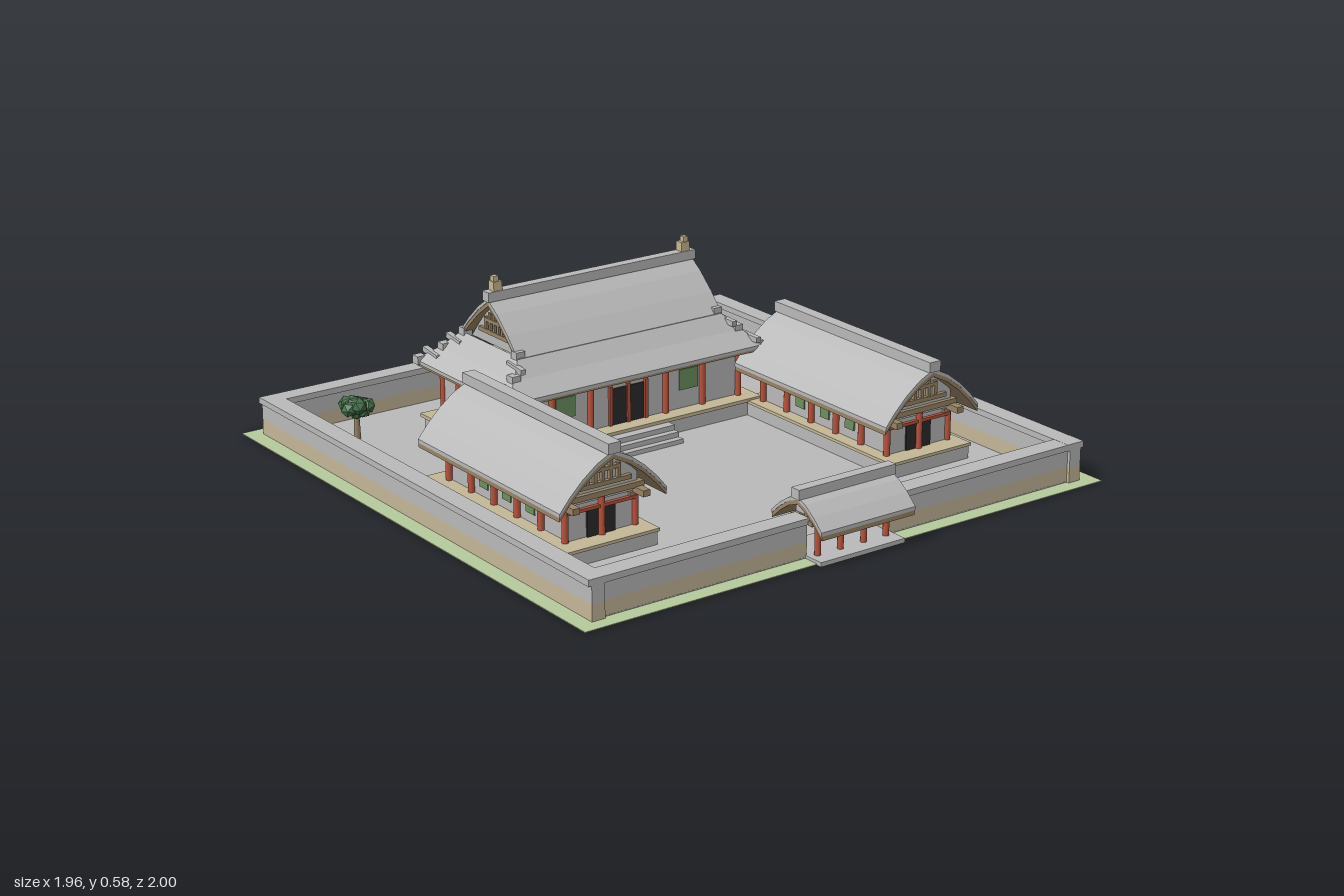
import * as THREE from 'three';

const mat = (name, color, extra = {}) => {
  const m = new THREE.MeshStandardMaterial({ color, ...extra });
  m.name = name;
  return m;
};
const M = {
  stone: mat('stone grey', 0xb9b9b9), grass: mat('grass', 0xb6c99c), sand: mat('sand band', 0xc4b797),
  timber: mat('timber', 0x998466), pale: mat('pale ornament', 0xc9b893), red: mat('red lacquer', 0xb9533c),
  window: mat('window green', 0x6b9060), leaf: mat('foliage', 0x46704a), dark: mat('dark door', 0x2a2a2a),
};

const add = (parent, name, geo, m, x = 0, y = 0, z = 0) => {
  const mesh = new THREE.Mesh(geo, m);
  mesh.name = name;
  mesh.position.set(x, y, z);
  parent.add(mesh);
  return mesh;
};
const group = (parent, name, x = 0, z = 0) => {
  const g = new THREE.Group();
  g.name = name;
  g.position.set(x, 0, z);
  parent.add(g);
  return g;
};
// box given by its centre in x and z, and its bottom and top
const box = (p, name, m, w, d, y0, y1, x = 0, z = 0) =>
  add(p, name, new THREE.BoxGeometry(w, y1 - y0, d), m, x, (y0 + y1) / 2, z);
const post = (p, x, z, y0, y1, r = 0.011) =>
  add(p, 'column', new THREE.CylinderGeometry(r, r, y1 - y0, 10), M.red, x, (y0 + y1) / 2, z);

// extrude a mirrored cross-section along z, centred
function section(p, name, m, half, length, z = 0) {
  const pts = [...half, ...half.slice().reverse().map(([x, y]) => [-x, y])];
  const shape = new THREE.Shape(pts.map(([x, y]) => new THREE.Vector2(x, y)));
  const geo = new THREE.ExtrudeGeometry(shape, { depth: length, bevelEnabled: false });
  return add(p, name, geo, m, 0, 0, z - length / 2);
}

// arched roof: tiles, timber underlayer and ridge; profile runs from ridge to eave
function gableRoof(p, profile, length, ridgeW, ridgeH) {
  const layer = (a, b) => [...profile.map(([x, y]) => [x, y - b]).reverse(), ...profile.map(([x, y]) => [x, y - a])];
  for (const [name, m, a, b, l] of [['roofTiles', M.stone, 0, 0.012, length], ['roofBoards', M.timber, 0.012, 0.026, length - 0.004]]) {
    const L = layer(a, b), n = profile.length;
    const under = L.slice(0, n), top = L.slice(n);
    const outline = [...top, ...under, ...under.slice(0, n - 1).reverse().map(([x, y]) => [-x, y]),
      ...top.slice(1).reverse().map(([x, y]) => [-x, y])];
    const shape = new THREE.Shape(outline.map(([x, y]) => new THREE.Vector2(x, y)));
    add(p, name, new THREE.ExtrudeGeometry(shape, { depth: l, bevelEnabled: false }), m, 0, 0, -l / 2);
  }
  const top = profile[0][1];
  box(p, 'ridge', M.stone, ridgeW, length + 0.012, top - 0.008, top + ridgeH);
}

// timber lattice on both gable ends
function lattice(p, y, width, height, z) {
  for (const s of [-1, 1]) {
    box(p, 'gableBeam', M.timber, width, 0.014, y, y + 0.014, 0, s * z);
    box(p, 'gableTie', M.timber, width * 0.6, 0.014, y + height * 0.45, y + height * 0.45 + 0.012, 0, s * z);
    for (const k of [-2, -1, 0, 1, 2])
      box(p, 'gableStrut', M.timber, 0.011, 0.012, y, y + height * (1 - 0.2 * Math.abs(k)), k * width * 0.14, s * z);
  }
}

function sideHall(root, s) {
  const g = group(root, s > 0 ? 'leftHall' : 'rightHall', s * 0.61, 0.19);
  box(g, 'platform', M.stone, 0.32, 0.76, 0.005, 0.05);
  box(g, 'platformEdge', M.sand, 0.33, 0.77, 0.05, 0.06);
  box(g, 'walls', M.stone, 0.235, 0.63, 0.06, 0.185);
  const profile = [[0, 0.34], [0.06, 0.31], [0.11, 0.272], [0.155, 0.228], [0.19, 0.186]];
  section(g, 'gableWall', M.stone, [[0.13, 0.17], [0.13, 0.228], [0.1, 0.255], [0.05, 0.29], [0.01, 0.315]], 0.64);
  gableRoof(g, profile, 0.77, 0.044, 0.026);
  lattice(g, 0.215, 0.2, 0.1, 0.328);
  for (const x of [-0.125, 0.125]) {
    box(g, 'eaveBeam', M.timber, 0.025, 0.75, 0.165, 0.185, x);
    for (let i = 0; i < 6; i++) {
      const z = -0.315 + i * 0.126;
      post(g, x, z, 0.06, 0.168);
      box(g, 'bracket', M.timber, 0.05, 0.02, 0.155, 0.168, x, z);
    }
    for (const z of [-0.126, 0, 0.126])
      box(g, 'window', M.window, 0.006, 0.045, 0.09, 0.155, Math.sign(x) * 0.119, z);
  }
  for (const z of [-0.322, 0.322]) {
    post(g, 0, z, 0.06, 0.18);
    box(g, 'crossBeam', M.timber, 0.29, 0.025, 0.182, 0.2, 0, z);
    box(g, 'lintel', M.red, 0.25, 0.012, 0.146, 0.156, 0, z);
    box(g, 'door', M.dark, 0.1, 0.008, 0.06, 0.146, 0, Math.sign(z) * 0.317);
  }
}

// hipped lower roof from rectangular rings [halfX, halfZ, y]
function skirtGeometry(rings) {
  const pos = [], idx = [];
  for (const [x, z, y] of rings) pos.push(-x, y, z, x, y, z, x, y, -z, -x, y, -z);
  for (let r = 0; r < rings.length - 1; r++)
    for (let k = 0; k < 4; k++) {
      const a = r * 4 + k, b = r * 4 + (k + 1) % 4;
      idx.push(a, a + 4, b, b, a + 4, b + 4);
    }
  const geo = new THREE.BufferGeometry();
  geo.setAttribute('position', new THREE.Float32BufferAttribute(pos, 3));
  geo.setIndex(idx);
  const flat = geo.toNonIndexed();
  flat.computeVertexNormals();
  return flat;
}

function mainHall(root) {
  const g = group(root, 'mainHall', 0, -0.413);
  box(g, 'platform', M.stone, 0.98, 0.5, 0.005, 0.055);
  box(g, 'platformEdge', M.sand, 1.0, 0.52, 0.055, 0.067);
  box(g, 'walls', M.stone, 0.89, 0.4, 0.067, 0.235);
  box(g, 'eaveBeam', M.timber, 0.93, 0.45, 0.218, 0.234);

  // lower hipped roof with corner ridges
  const rings = [[0.395, 0.165, 0.354], [0.445, 0.215, 0.298], [0.505, 0.273, 0.25]];
  add(g, 'lowerRoof', skirtGeometry([...rings, [0.505, 0.273, 0.238]]), M.stone);
  add(g, 'lowerRoofBoards', skirtGeometry([[0.502, 0.27, 0.239], [0.502, 0.27, 0.23], [0.3, 0.1, 0.23]]), M.timber);
  for (const sx of [-1, 1]) for (const sz of [-1, 1]) {
    const at = rings.map(([x, z, y]) => new THREE.Vector3(sx * (x - 0.008), y, sz * (z - 0.012)));
    at.forEach((v) => box(g, 'hipBlock', M.stone, 0.032, 0.032, v.y - 0.012, v.y + 0.016, v.x, v.z));
    for (let i = 0; i < 2; i++) {
      const bar = add(g, 'hipRidge', new THREE.BoxGeometry(0.018, 0.018, at[i].distanceTo(at[i + 1])), M.stone);
      bar.position.copy(at[i]).lerp(at[i + 1], 0.5);
      bar.lookAt(at[i + 1]);
    }
  }

  // upper gabled roof, ridge along x
  const up = group(g, 'upperRoof');
  up.rotation.y = Math.PI / 2;
  section(up, 'gableWall', M.stone, [[0.145, 0.34], [0.1, 0.395], [0.05, 0.445], [0.01, 0.475]], 0.735);
  gableRoof(up, [[0, 0.505], [0.055, 0.466], [0.115, 0.411], [0.17, 0.35]], 0.8, 0.036, 0.024);
  lattice(up, 0.375, 0.17, 0.09, 0.373);
  for (const s of [-1, 1]) {
    box(g, 'ridgeOrnament', M.pale, 0.032, 0.03, 0.525, 0.56, s * 0.368);
    box(g, 'ridgeOrnamentTip', M.pale, 0.018, 0.02, 0.56, 0.577, s * 0.372);
  }

  // columns, windows and doors
  for (const s of [-1, 1]) {
    for (let i = -3; i <= 3; i++)
      if (i !== 0 || s < 0) post(g, i * 0.148, s * 0.205, 0.067, 0.22);
    for (const z of [-0.1, 0.1]) post(g, s * 0.45, z, 0.067, 0.22);
    box(g, 'sideWindow', M.window, 0.006, 0.065, 0.13, 0.2, s * 0.446, 0);
    box(g, 'frontWindow', M.window, 0.075, 0.006, 0.13, 0.2, s * 0.243, 0.201);
    box(g, 'door', M.dark, 0.055, 0.008, 0.067, 0.19, s * 0.034, 0.2);
    box(g, 'doorPost', M.red, 0.012, 0.014, 0.067, 0.2, s * 0.07, 0.202);
  }
  box(g, 'doorMullion', M.red, 0.012, 0.014, 0.067, 0.2, 0, 0.202);
  for (let i = 0; i < 3; i++)
    box(g, 'step', M.stone, 0.24, 0.09 - i * 0.023, 0.005 + i * 0.017, 0.022 + i * 0.017, 0, 0.295 - i * 0.0115);
}

function gate(root) {
  const g = group(root, 'gate', 0, 0.882);
  box(g, 'gateBase', M.stone, 0.32, 0.19, 0, 0.014);
  const up = group(g, 'gateRoof');
  up.rotation.y = Math.PI / 2;
  gableRoof(up, [[0, 0.196], [0.04, 0.18], [0.08, 0.152], [0.117, 0.118]], 0.355, 0.036, 0.024);
  section(up, 'gateGable', M.stone, [[0.055, 0.122], [0.055, 0.14], [0.01, 0.172]], 0.27);
  for (const s of [-1, 1]) {
    box(up, 'gableStrut', M.timber, 0.012, 0.01, 0.122, 0.175, 0, s * 0.138);
    box(up, 'gateTie', M.timber, 0.11, 0.018, 0.108, 0.124, 0, s * 0.13);
    box(g, 'gateBeam', M.timber, 0.32, 0.018, 0.11, 0.124, 0, s * 0.042);
    for (const x of [-0.13, -0.044, 0.044, 0.13]) post(g, x, s * 0.042, 0.014, 0.112, 0.01);
  }
}

// perimeter wall, one run per side, open at the gate
function wallRun(root, w, d, x, z) {
  const g = group(root, 'perimeterWall', x, z);
  box(g, 'wallFoot', M.sand, w, d, 0.003, 0.055);
  box(g, 'wallFace', M.stone, w, d, 0.055, 0.112);
  box(g, 'wallCap', M.stone, w + (w > d ? 0 : 0.02), d + (w > d ? 0.02 : 0), 0.112, 0.132);
}

// bush made of jittered low-poly clumps
function bush(root, x, z, seed) {
  const g = group(root, 'bush', x, z);
  const rnd = () => (seed = (seed * 16807) % 2147483647) / 2147483647;
  add(g, 'trunk', new THREE.CylinderGeometry(0.009, 0.012, 0.08, 6), M.timber, 0, 0.045, 0);
  for (let i = 0; i < 11; i++) {
    const a = i * 2.4, r = 0.045 * Math.sqrt(i / 11);
    const clump = add(g, 'leafClump', new THREE.IcosahedronGeometry(0.024 + rnd() * 0.01, 0), M.leaf,
      Math.cos(a) * r, 0.085 + rnd() * 0.045, Math.sin(a) * r);
    clump.rotation.set(rnd() * 3, rnd() * 3, rnd() * 3);
  }
}

export function createModel() {
  const root = new THREE.Group();
  root.name = 'courtyardCompound';
  box(root, 'lawn', M.grass, 1.96, 1.96, 0.001, 0.004, 0, -0.02);
  box(root, 'courtyardFloor', M.stone, 1.85, 1.85, 0, 0.007, 0, -0.02);
  for (const s of [-1, 1]) {
    wallRun(root, 0.045, 1.87, s * 0.903, -0.02);
    wallRun(root, 0.765, 0.045, s * 0.5375, 0.882);
    sideHall(root, s);
  }
  wallRun(root, 1.84, 0.045, 0, -0.922);
  for (const x of [-1, 1]) box(root, 'cornerCap', M.stone, 0.065, 0.065, 0.1115, 0.1325, x * 0.903, 0.882);
  mainHall(root);
  gate(root);
  bush(root, -0.705, -0.73, 17);
  bush(root, 0.69, -0.75, 91);
  return root;
}
